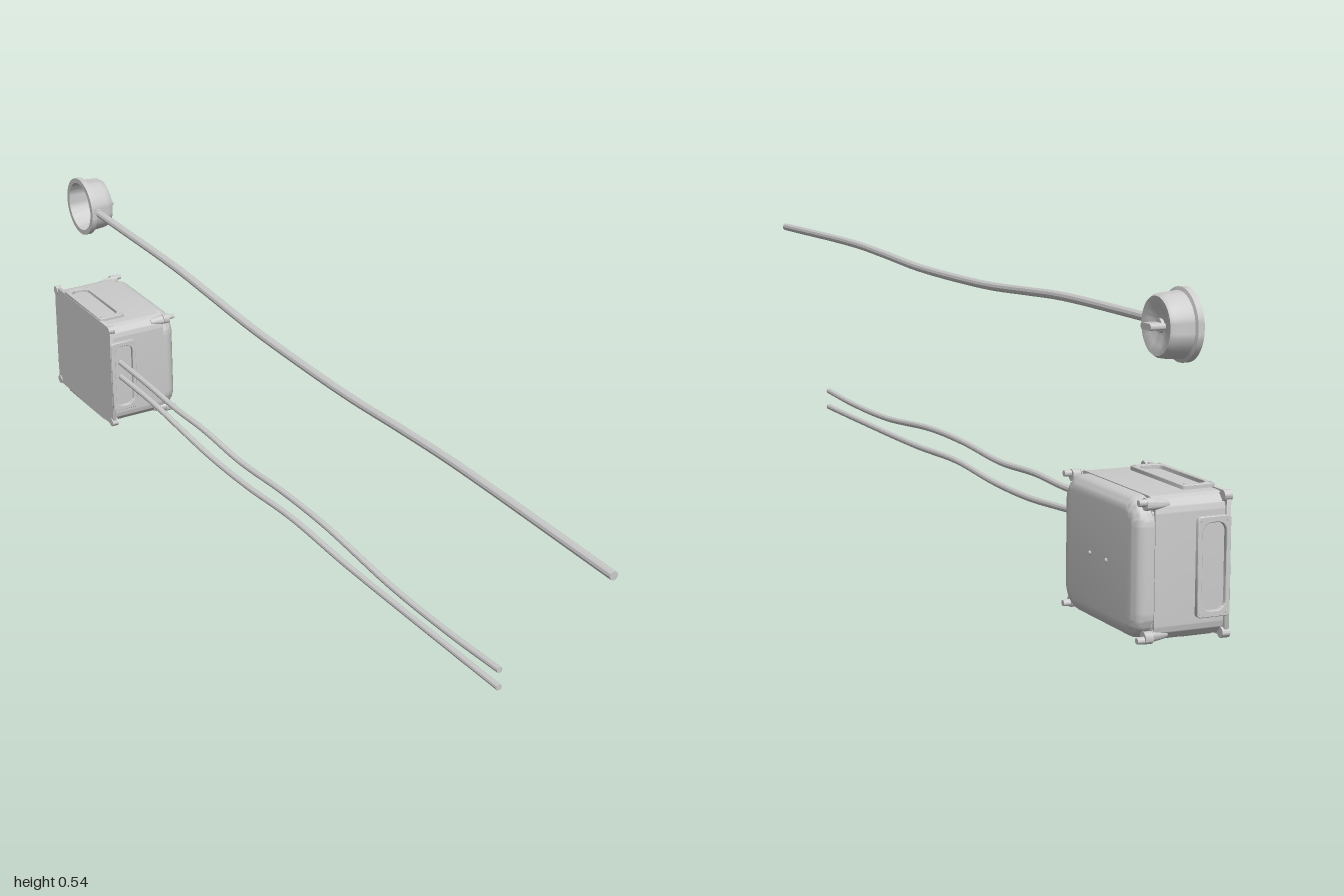
import * as THREE from 'three';
import { toCreasedNormals } from 'three/addons/utils/BufferGeometryUtils.js';

const material = new THREE.MeshStandardMaterial({ color: 0xcccccc });

function add(parent, geometry, name) {
  const mesh = new THREE.Mesh(toCreasedNormals(geometry, 0.6), material);
  mesh.name = name;
  parent.add(mesh);
  return mesh;
}

// Rounded rectangle outline, centred on the origin
function roundedRect(w, h, r, Kind = THREE.Shape) {
  const s = new Kind();
  const x = w / 2, y = h / 2;
  s.moveTo(x, y - r);
  s.absarc(x - r, y - r, r, 0, Math.PI / 2);
  s.absarc(-x + r, y - r, r, Math.PI / 2, Math.PI);
  s.absarc(-x + r, -y + r, r, Math.PI, Math.PI * 1.5);
  s.absarc(x - r, -y + r, r, Math.PI * 1.5, Math.PI * 2);
  s.closePath();
  return s;
}

// Rounded slab spanning x0..x1, with width along z and height along y
function slab(w, h, r, x0, x1) {
  return new THREE.ExtrudeGeometry(roundedRect(w, h, r), {
    depth: x1 - x0, bevelEnabled: false, curveSegments: 8,
  }).rotateY(Math.PI / 2).translate(x0, 0, 0);
}

// Cylinder lying along x
function peg(r0, r1, x0, x1, y, z) {
  return new THREE.CylinderGeometry(r1, r0, x1 - x0, 16)
    .rotateZ(-Math.PI / 2).translate((x0 + x1) / 2, y, z);
}

// Raised frame with an oval recess; its face points along +z
function panelFrame(length) {
  const s = roundedRect(0.058, length, 0.006);
  s.holes.push(roundedRect(0.042, length - 0.02, 0.016, THREE.Path));
  return new THREE.ExtrudeGeometry(s, {
    depth: 0.008, bevelEnabled: true, bevelSize: 0.001, bevelThickness: 0.001,
    bevelOffset: -0.001, bevelSegments: 1, curveSegments: 8,
  });
}

function cable(parent, points, x, radius, name) {
  const curve = new THREE.CatmullRomCurve3(
    points.map(([z, y]) => new THREE.Vector3(x, y, z)), false, 'centripetal');
  add(parent, new THREE.TubeGeometry(curve, 64, radius, 10), name);
  // End caps
  for (const [t, turn] of [[0, 0], [1, Math.PI]]) {
    const cap = add(parent, new THREE.CircleGeometry(radius, 10), name + 'End');
    cap.position.copy(curve.getPoint(t));
    cap.rotation.y = turn;
  }
}

function createBox() {
  const box = new THREE.Group();
  box.name = 'junctionBox';

  // Base plate, body and lid seam
  add(box, slab(0.272, 0.232, 0.014, -0.082, -0.074), 'basePlate');
  add(box, slab(0.264, 0.228, 0.026, -0.076, 0.048), 'body');
  add(box, slab(0.256, 0.220, 0.03, 0.046, 0.051), 'lidSeam');

  // Lid with a softly rounded rim
  const lid = new THREE.ExtrudeGeometry(roundedRect(0.214, 0.178, 0.022), {
    depth: 0.005, bevelEnabled: true, bevelSize: 0.024, bevelThickness: 0.022,
    bevelSegments: 6, curveSegments: 8,
  }).rotateY(Math.PI / 2).translate(0.051, 0, 0);
  add(box, lid, 'lid');

  // Panel frames on the four sides
  const sides = [
    ['frontPanel', 0.16, 0.131, 0], ['bottomPanel', 0.18, 0.112, 1],
    ['backPanel', 0.16, 0.131, 2], ['topPanel', 0.18, 0.112, 3],
  ];
  for (const [name, length, offset, turn] of sides) {
    const geometry = panelFrame(length).translate(-0.052, 0, offset)
      .rotateX(turn * Math.PI / 2);
    add(box, geometry, name);
    // Small screws in the frame corners
    for (const sx of [-1, 1]) for (const sy of [-1, 1]) {
      const screw = new THREE.CylinderGeometry(0.0025, 0.0025, 0.002, 8)
        .rotateX(Math.PI / 2)
        .translate(-0.052 + sx * 0.023, sy * (length / 2 - 0.007), offset + 0.0095)
        .rotateX(turn * Math.PI / 2);
      add(box, screw, 'panelScrew');
    }
  }

  // Corner ears on the base and screw lugs on the lid
  for (const sy of [-1, 1]) for (const sz of [-1, 1]) {
    add(box, peg(0.009, 0.009, -0.084, -0.07, sy * 0.109, sz * 0.129), 'baseEar');
    add(box, peg(0.006, 0.011, 0.022, 0.05, sy * 0.103, sz * 0.123), 'lugSupport');
    add(box, peg(0.01, 0.01, 0.05, 0.064, sy * 0.105, sz * 0.126), 'lidLug');
    add(box, peg(0.006, 0.005, 0.064, 0.076, sy * 0.108, sz * 0.128), 'lidScrew');
  }

  // Two tiny bumps on the lid face
  for (const z of [-0.028, 0.028]) {
    add(box, new THREE.SphereGeometry(0.004, 10, 8).translate(0.077, -0.002, z), 'lidBump');
  }
  box.position.set(0, 0.12, -0.86);
  return box;
}

function createCup() {
  const cup = new THREE.Group();
  cup.name = 'roundSensor';

  // Hollow flanged cup with a dished face, open towards -x
  const profile = [
    [0, 0.037], [0.02, 0.041], [0.042, 0.045], [0.048, 0.041], [0.051, 0],
    [0.061, 0], [0.061, 0.011], [0.055, 0.013], [0.053, 0.04], [0.0515, 0.049],
    [0.048, 0.054], [0.043, 0.054], [0.032, 0.049], [0.018, 0.045], [0, 0.043],
  ].map(([r, x]) => new THREE.Vector2(r, x));
  add(cup, new THREE.LatheGeometry(profile, 40)
    .rotateZ(-Math.PI / 2).translate(-0.084, 0, 0), 'cup');

  // Oval knob in the middle of the dish
  add(cup, slab(0.034, 0.011, 0.005, -0.045, -0.012), 'knob');
  add(cup, peg(0.013, 0.011, -0.045, -0.035, 0, 0), 'knobCollar');

  // Cable gland through the wall
  add(cup, new THREE.CylinderGeometry(0.0095, 0.0095, 0.018, 14)
    .rotateX(Math.PI / 2).translate(-0.067, 0, 0.052), 'cableGland');
  cup.position.set(0, 0.477, -0.84);
  return cup;
}

export function createModel() {
  const model = new THREE.Group();
  model.name = 'sensorAndJunctionBox';
  model.add(createBox(), createCup());

  cable(model, [[1, 0.478], [0.56, 0.478], [0.4, 0.472], [0.22, 0.463], [0, 0.461],
    [-0.14, 0.463], [-0.3, 0.471], [-0.43, 0.477], [-0.8, 0.477]], -0.067, 0.008, 'sensorCable');
  cable(model, [[0.7, 0.142], [0.55, 0.135], [0.36, 0.135], [0.13, 0.151], [-0.03, 0.151],
    [-0.2, 0.142], [-0.35, 0.148], [-0.47, 0.145], [-0.6, 0.149], [-0.74, 0.15]],
  -0.057, 0.006, 'upperBoxCable');
  cable(model, [[0.7, 0.107], [0.5, 0.105], [0.2, 0.104], [0, 0.109], [-0.17, 0.099],
    [-0.32, 0.098], [-0.45, 0.106], [-0.58, 0.115], [-0.74, 0.116]],
  -0.057, 0.006, 'lowerBoxCable');
  return model;
}
